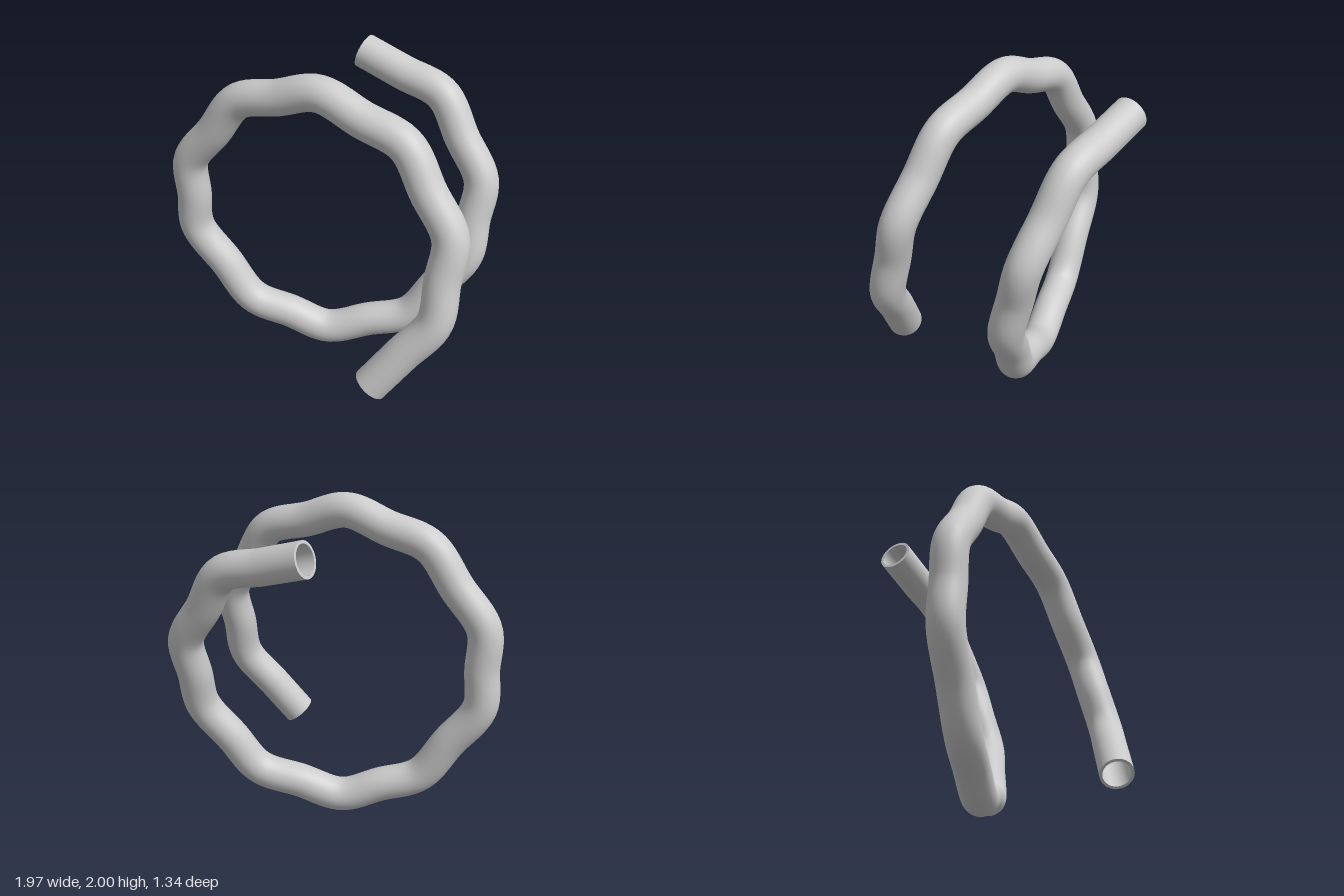
import * as THREE from 'three';

const OUTER = 0.106, INNER = 0.088;

// Corners of the coil's centre line, from the front end to the back end
const CORNERS = [
  [0.59, 0.33, 0.575], [0.87, 0.77, 0.36], [0.865, 1.26, 0.225], [0.54, 1.72, 0.195],
  [0, 1.894, 0.25], [-0.52, 1.73, 0.335], [-0.865, 1.26, 0.405], [-0.873, 0.77, 0.385],
  [-0.54, 0.28, 0.265], [-0.1, 0.106, 0.055], [0.36, 0.27, -0.19], [0.635, 0.71, -0.39],
  [0.63, 1.18, -0.53], [0.31, 1.65, -0.565], [-0.23, 1.81, -0.52],
].map((p) => new THREE.Vector3(...p));

// Passing through the middle of each side as well gives the soft, kinked bends
function coilPath() {
  const points = [];
  CORNERS.forEach((p, i) => {
    if (i > 0) points.push(CORNERS[i - 1].clone().lerp(p, 0.5));
    points.push(p);
  });
  const curve = new THREE.CatmullRomCurve3(points, false, 'centripetal');
  curve.arcLengthDivisions = 800;
  return curve;
}

export function createModel() {
  const group = new THREE.Group();
  group.name = 'coiledPipe';
  const material = new THREE.MeshStandardMaterial({ color: 0xcccccc });
  const insideMaterial = new THREE.MeshStandardMaterial({ color: 0xcccccc, side: THREE.BackSide });
  const path = coilPath();

  const add = (name, geometry, mat = material) => {
    const mesh = new THREE.Mesh(geometry, mat);
    mesh.name = name;
    group.add(mesh);
    return mesh;
  };

  // Pipe wall, outside and inside
  add('pipeOuterWall', new THREE.TubeGeometry(path, 224, OUTER, 32, false));
  add('pipeInnerWall', new THREE.TubeGeometry(path, 224, INNER, 32, false), insideMaterial);

  // Flat rims closing the wall at both open ends
  for (const [name, t, sign] of [['frontRim', 0, -1], ['backRim', 1, 1]]) {
    const rim = add(name, new THREE.RingGeometry(INNER, OUTER, 32));
    rim.position.copy(path.getPointAt(t));
    const outward = path.getTangentAt(t).multiplyScalar(sign);
    rim.quaternion.setFromUnitVectors(new THREE.Vector3(0, 0, 1), outward);
  }
  return group;
}
